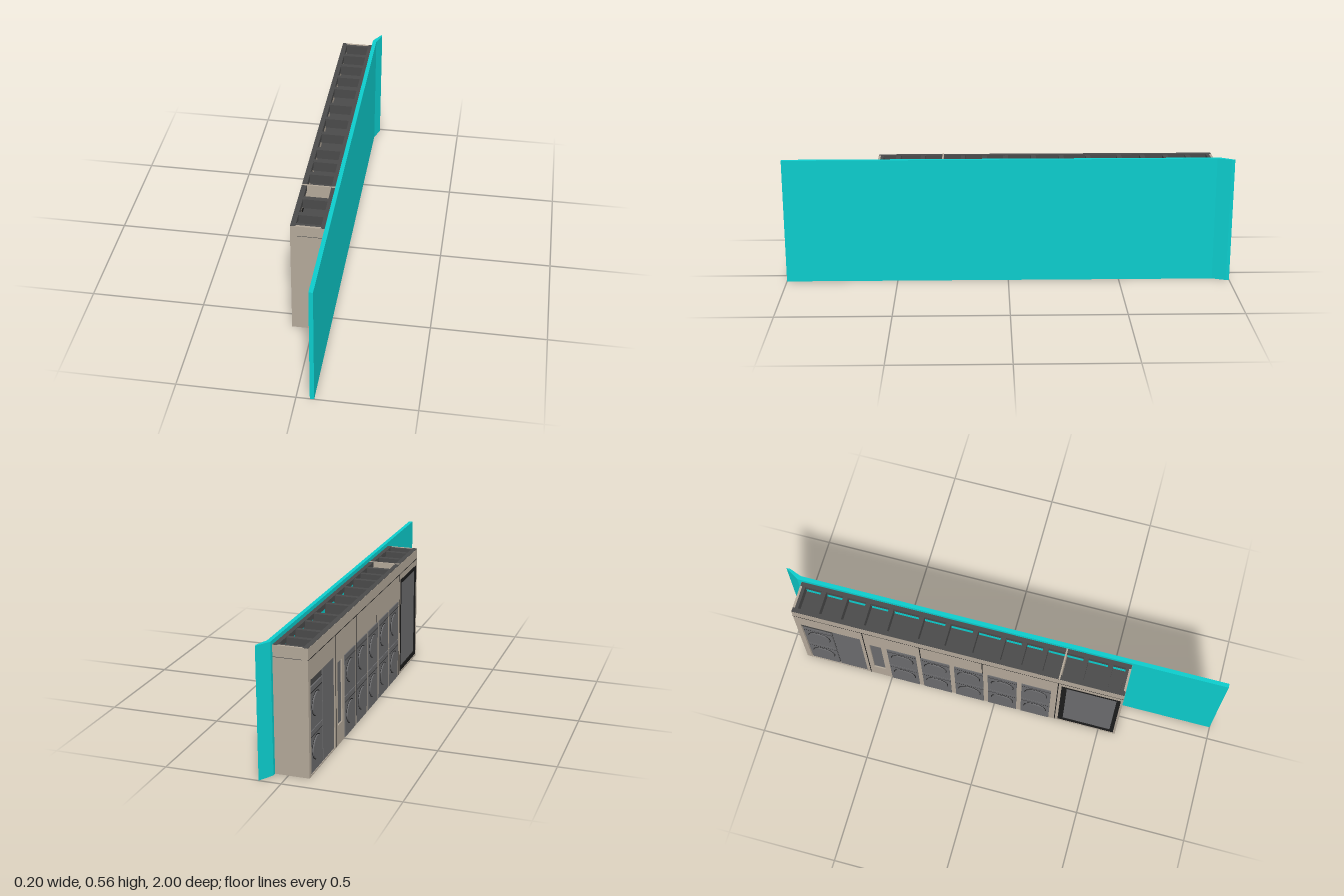
import * as THREE from 'three';

const mat = (name, color) => Object.assign(new THREE.MeshStandardMaterial({ color }), { name });

export function createModel() {
  const teal = mat('teal wall', 0x0ccccc);
  const beige = mat('beige cabinet', 0xb3a899);
  const dark = mat('dark frame', 0x4a4a4a);
  const grey = mat('grey appliance', 0x6b6b6d);
  const black = mat('black trim', 0x1c1c1c);

  const model = new THREE.Group();
  model.name = 'lockerWall';
  const add = (name, geometry, material, parent = model) => {
    const mesh = new THREE.Mesh(geometry, material);
    mesh.name = name;
    parent.add(mesh);
    return mesh;
  };
  // box given by its limits on each axis
  const box = (name, x0, x1, y0, y1, z0, z1, material, parent) => {
    const mesh = add(name, new THREE.BoxGeometry(x1 - x0, y1 - y0, z1 - z0), material, parent);
    mesh.position.set((x0 + x1) / 2, (y0 + y1) / 2, (z0 + z1) / 2);
    return mesh;
  };
  // rectangle in the z-y plane, drawn on a shape or a hole path
  const rect = (path, z0, z1, y0, y1) => {
    path.moveTo(z0, y0);
    path.lineTo(z1, y0);
    path.lineTo(z1, y1);
    path.lineTo(z0, y1);
    path.closePath();
    return path;
  };
  // upright slab facing -x, with rectangular openings
  const slab = (name, outer, holes, xFront, depth, material) => {
    const shape = rect(new THREE.Shape(), ...outer);
    holes.forEach(h => shape.holes.push(rect(new THREE.Path(), ...h)));
    const g = new THREE.ExtrudeGeometry(shape, { depth, bevelEnabled: false });
    g.rotateY(-Math.PI / 2).translate(xFront + depth, 0, 0);
    return add(name, g, material);
  };

  // wall with its bent end
  const plan = new THREE.Shape([
    [0.057, -1], [0.075, -1], [0.075, 0.925], [0.097, 0.985], [0.095, 1], [0.057, 0.937],
  ].map(p => new THREE.Vector2(...p)));
  const wall = new THREE.ExtrudeGeometry(plan, { depth: 0.565, bevelEnabled: false });
  add('wall', wall.rotateX(-Math.PI / 2), teal);

  // cabinet shell
  const zA = -0.92, zB = 0.58;
  slab('frontPanel', [zA, zB, 0, 0.546], [
    [-0.897, -0.62, 0.006, 0.41],
    [-0.58, -0.525, 0.09, 0.37],
    [0.305, 0.573, 0.008, 0.468],
  ], -0.09, 0.012, beige);
  box('endPanel', -0.089, 0.057, 0, 0.547, zA, zA + 0.01, beige);
  box('endPanel', -0.089, 0.057, 0, 0.547, zB - 0.01, zB, beige);
  box('partition', -0.089, 0.057, 0.01, 0.549, 0.287, 0.294, beige);

  // panel seams
  for (const z of [-0.603, -0.34, -0.054, 0.29])
    box('verticalSeam', -0.0904, -0.089, 0, 0.497, z - 0.002, z + 0.002, black);
  box('horizontalSeam', -0.0904, -0.089, 0.496, 0.499, zA, zB, black);
  for (const z of [zA, zB])
    box('endSeam', -0.063, 0.057, 0.497, 0.499, z - 0.0004, z + 0.0004, dark);

  // front-loading machine: body, round door and its rim
  const machine = (z, y, xFront, doorDepth) => {
    const g = new THREE.Group();
    g.name = 'machine';
    model.add(g);
    box('machineBody', xFront, 0.04, y, y + 0.183, z - 0.067, z + 0.067, grey, g);
    box('controlSeam', xFront - 0.0004, xFront, y + 0.158, y + 0.16, z - 0.067, z + 0.067, black, g);
    const disc = (name, r, depth, m) => {
      const door = add(name, new THREE.CylinderGeometry(r, r, depth, 40).rotateZ(Math.PI / 2), m, g);
      door.position.set(xFront - depth / 2, y + 0.096, z);
    };
    disc('doorRim', 0.053, 0.0005, black);
    disc('roundDoor', 0.05, doorDepth, grey);
  };
  for (const y of [0.004, 0.191]) {
    for (let i = 0; i < 5; i++) machine(-0.43 + i * 0.156, y, -0.0935, 0.0055);
    machine(-0.825, y, -0.087, 0.006);
  }

  // niche beside the first stack: header and tall door
  box('nicheHeader', -0.085, 0.03, 0.378, 0.41, -0.897, -0.755, dark);
  box('tallDoor', -0.087, 0.03, 0.006, 0.41, -0.752, -0.62, grey);
  box('nicheBack', -0.08, -0.075, 0.004, 0.412, -0.9, -0.615, black);
  // narrow slot door
  box('slotDoor', -0.084, -0.07, 0.088, 0.372, -0.583, -0.522, grey);

  // large framed screen
  slab('screenFrame', [0.303, 0.575, 0.006, 0.47], [[0.328, 0.552, 0.03, 0.446]], -0.088, 0.012, black);
  box('screen', -0.084, -0.076, 0.028, 0.448, 0.326, 0.554, grey);

  // open roof: rails, cross bars and the deck below
  box('frontRail', -0.0895, -0.068, 0.52, 0.5475, zA + 0.001, zB - 0.001, dark);
  box('rearRail', 0.037, 0.057, 0.525, 0.5475, zA + 0.001, zB - 0.001, dark);
  for (const z of [-0.907, -0.81, -0.71, -0.605, -0.5, -0.36, -0.24, -0.115, 0.01, 0.105, 0.2, 0.38, 0.49, 0.567])
    box('crossBar', -0.07, 0.04, 0.5, 0.546, z - 0.011, z + 0.011, dark);
  box('roofDeck', -0.079, 0.056, 0.44, 0.45, zA + 0.01, zB - 0.01, dark);

  // underside: raised floor and feet between the bays
  box('floor', -0.079, 0.05, 0.003, 0.012, zA + 0.01, 0.287, dark);
  for (const z of [-0.9, -0.753, -0.61, -0.51, -0.352, -0.196, -0.04, 0.116, 0.275])
    box('floorRib', -0.079, 0.05, 0, 0.012, z - 0.009, z + 0.009, dark);
  for (const x of [-0.075, 0.045])
    box('baySill', x - 0.004, x + 0.004, 0, 0.012, 0.294, zB - 0.01, dark);

  return model;
}
